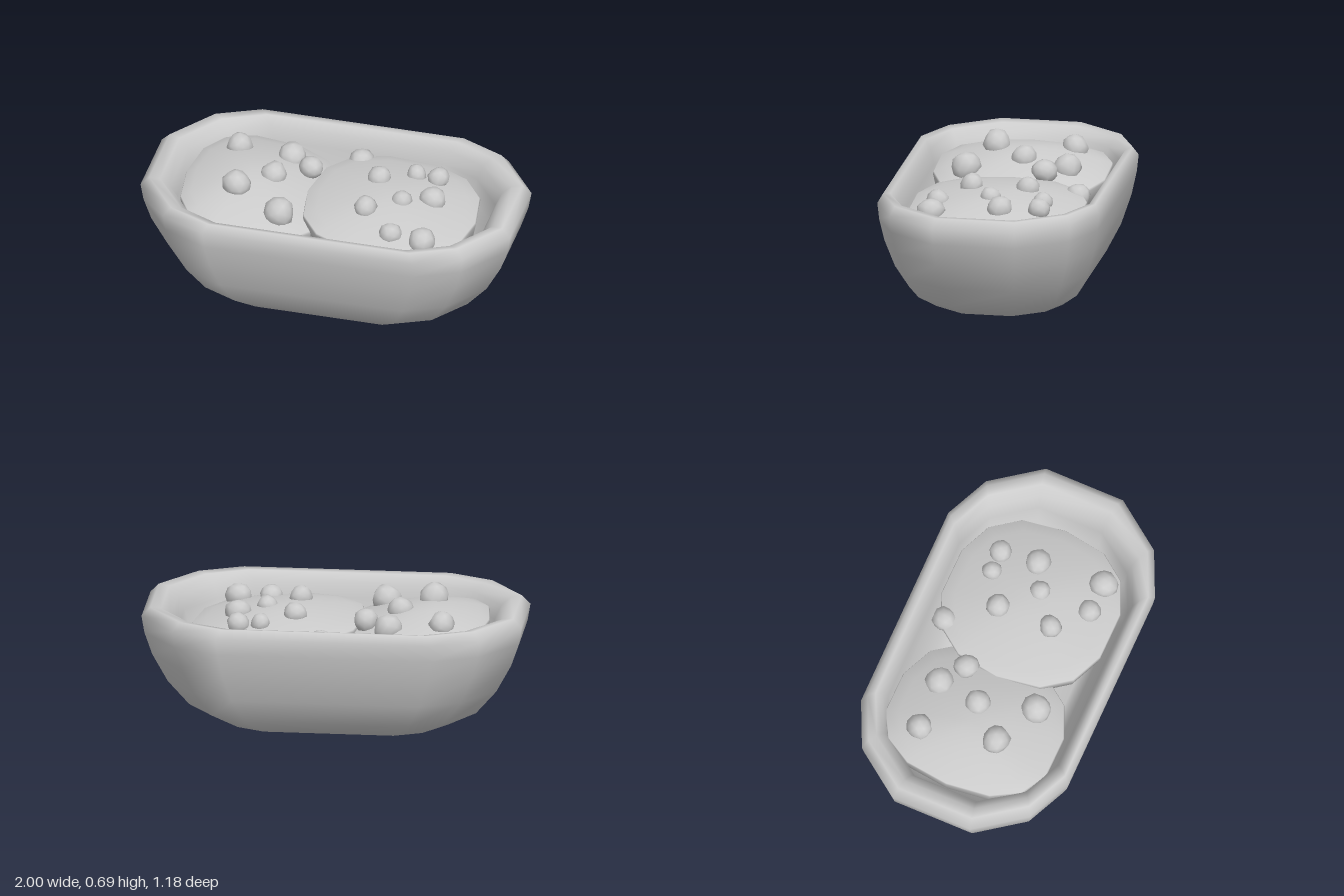
import * as THREE from 'three';
import { mergeVertices } from 'three/addons/utils/BufferGeometryUtils.js';

const material = new THREE.MeshStandardMaterial({ color: 0xcccccc });

// Skin a stack of closed rings (each an array of [x, y, z]) with smooth normals
function loft(rings) {
  const n = rings[0].length;
  const index = [];
  for (let i = 0; i < rings.length - 1; i++) {
    for (let j = 0; j < n; j++) {
      const a = i * n + j, b = i * n + (j + 1) % n;
      index.push(a, a + n, b, b, a + n, b + n);
    }
  }
  const geometry = new THREE.BufferGeometry();
  geometry.setAttribute('position', new THREE.Float32BufferAttribute(rings.flat(2), 3));
  geometry.setIndex(index);
  const merged = mergeVertices(geometry, 1e-5);
  merged.computeVertexNormals();
  return merged;
}

function addMesh(parent, name, geometry) {
  const mesh = new THREE.Mesh(geometry, material);
  mesh.name = name;
  parent.add(mesh);
  return mesh;
}

// Twelve-sided oblong bowl: one outline scaled along an outer and inner profile
function bowlGeometry() {
  const quarter = [[1, 0.22], [0.81, 0.48], [0.57, 0.59]];
  const half = [...quarter, ...quarter.map(([x, z]) => [-x, z]).reverse()];
  const outline = [...half, ...half.map(([x, z]) => [-x, -z])];
  const profile = [
    [0, 0], [0.6, 0], [0.755, 0.08], [0.865, 0.21], [0.945, 0.36], [0.985, 0.48],
    [1, 0.57], [0.955, 0.617], [0.9, 0.61], [0.85, 0.565], [0.815, 0.49],
    [0.79, 0.38], [0.68, 0.22], [0.56, 0.12], [0, 0.1],
  ];
  return loft(profile.map(([k, y]) => outline.map(([x, z]) => [x * k, y, z * k])));
}

// Shallow tilted mound on a squarish oval outline, with a skirt tucked into the bowl
function moundGeometry({ cx, left, right, depth, top, drop, tilt }) {
  const sides = 14, power = 2 / 2.45;
  const outline = Array.from({ length: sides }, (_, i) => {
    const t = i / sides * Math.PI * 2;
    const c = Math.cos(t), s = Math.sin(t);
    return [
      Math.sign(c) * Math.abs(c) ** power * (c < 0 ? left : right),
      Math.sign(s) * Math.abs(s) ** power * depth,
    ];
  });
  const profile = [[0.6, 0.25], [0.96, top - drop - 0.1], [1, top - drop - 0.01]];
  for (const k of [0.99, 0.85, 0.66, 0.44, 0.22, 0]) profile.push([k, top - drop * k ** 1.8]);
  return loft(profile.map(([k, y]) =>
    outline.map(([x, z]) => [cx + x * k, y - tilt * x * k, z * k])));
}

// Slightly lumpy round crumb
function crumbGeometry(seed) {
  let geometry = new THREE.IcosahedronGeometry(1, 1);
  geometry.deleteAttribute('normal');
  geometry.deleteAttribute('uv');
  geometry = mergeVertices(geometry);
  const p = geometry.attributes.position;
  for (let i = 0; i < p.count; i++) {
    const k = 1 + 0.08 * Math.sin(i * 12.9 + seed * 4.7);
    p.setXYZ(i, p.getX(i) * k, p.getY(i) * k, p.getZ(i) * k);
  }
  geometry.computeVertexNormals();
  return geometry;
}

export function createModel() {
  const model = new THREE.Group();
  model.name = 'filledBowl';
  addMesh(model, 'bowl', bowlGeometry());

  addMesh(model, 'rightMound', moundGeometry({
    cx: -0.45, left: 0.36, right: 0.46, depth: 0.468, top: 0.61, drop: 0.1, tilt: 0.1,
  }));
  addMesh(model, 'leftMound', moundGeometry({
    cx: 0.3, left: 0.455, right: 0.457, depth: 0.463, top: 0.588, drop: 0.08, tilt: 0.06,
  }));

  // Crumbs: x, z, radius, height of the top
  const crumbs = [
    [-0.585, -0.25, 0.068, 0.655], [-0.3, -0.257, 0.076, 0.632], [-0.175, -0.162, 0.066, 0.636],
    [-0.34, -0.02, 0.068, 0.66], [-0.5, 0.15, 0.075, 0.688], [-0.24, 0.27, 0.08, 0.632],
    [0.04, -0.38, 0.066, 0.576], [0.195, -0.14, 0.062, 0.648], [0.37, -0.253, 0.052, 0.615],
    [0.485, -0.253, 0.06, 0.615], [0.51, -0.05, 0.069, 0.627], [0.36, 0.025, 0.055, 0.63],
    [0.2, 0.155, 0.06, 0.648], [0.37, 0.3, 0.062, 0.602], [0.545, 0.31, 0.073, 0.606],
  ];
  const crumbGroup = new THREE.Group();
  crumbGroup.name = 'crumbs';
  crumbs.forEach(([x, z, r, top], i) => {
    const crumb = addMesh(crumbGroup, 'crumb', crumbGeometry(i));
    crumb.scale.setScalar(r);
    crumb.position.set(x, top - r, z);
    crumb.rotation.y = i * 1.3;
  });
  model.add(crumbGroup);
  return model;
}
